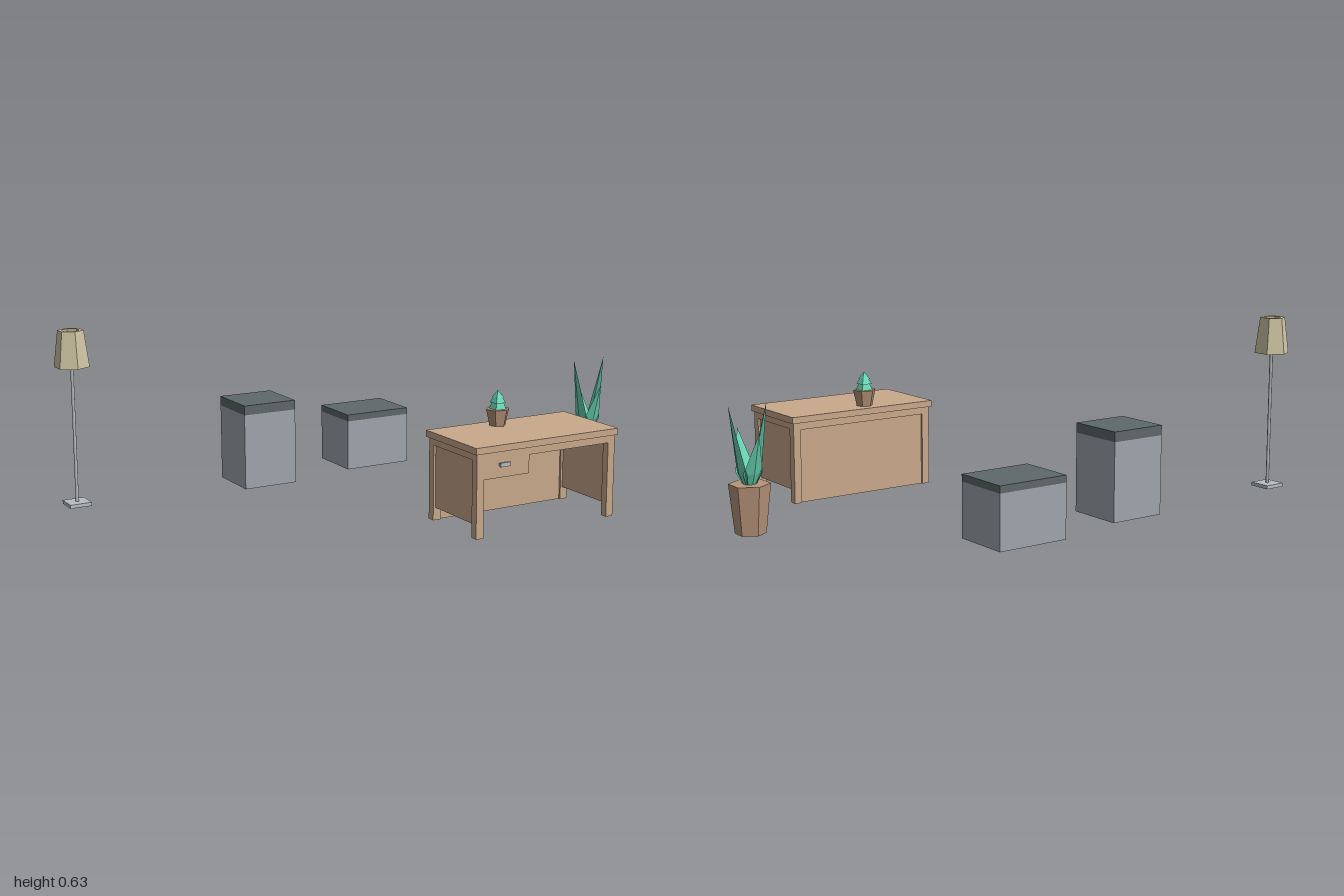
import * as THREE from 'three';

const mat = (name, color) => {
  const m = new THREE.MeshStandardMaterial({ color });
  m.name = name;
  return m;
};

// Flat facets for low-poly parts
const faceted = (geo) => {
  const g = geo.index ? geo.toNonIndexed() : geo;
  g.computeVertexNormals();
  return g;
};

export function createModel() {
  const wood = mat('wood', 0xc9a98c);
  const clay = mat('clay', 0xb8947a);
  const leafGreen = mat('leafGreen', 0x6ad6b4);
  const cabinetGrey = mat('cabinetGrey', 0x9fa6ad);
  const lidGrey = mat('lidGrey', 0x5e686a);
  const metal = mat('metal', 0xb8bebf);
  const fabric = mat('fabric', 0xcfc5a3);

  const model = new THREE.Group();
  model.name = 'officeFurniture';

  const group = (name, x = 0, y = 0, z = 0) => {
    const g = new THREE.Group();
    g.name = name;
    g.position.set(x, y, z);
    model.add(g);
    return g;
  };
  const add = (parent, name, geo, material) => {
    const m = new THREE.Mesh(geo, material);
    m.name = name;
    parent.add(m);
    return m;
  };
  // Box given by its extents on each axis
  const box = (parent, name, material, [x0, x1], [y0, y1], [z0, z1]) => {
    const m = add(parent, name, new THREE.BoxGeometry(x1 - x0, y1 - y0, z1 - z0), material);
    m.position.set((x0 + x1) / 2, (y0 + y1) / 2, (z0 + z1) / 2);
    return m;
  };

  // Desk: top, legs, rails, recessed panels
  const desk = group('desk');
  box(desk, 'deskTop', wood, [0.035, 0.62], [0.29, 0.313], [0.308, 0.617]);
  const legX = [[0.043, 0.072], [0.584, 0.612]];
  const legZ = [[0.317, 0.346], [0.582, 0.61]];
  for (const lx of legX) for (const lz of legZ) box(desk, 'leg', wood, lx, [0, 0.29], lz);
  for (const lx of legX) box(desk, 'sideRail', wood, lx, [0.266, 0.29], [0.346, 0.582]);
  for (const lz of legZ) box(desk, 'longRail', wood, [0.072, 0.584], [0.264, 0.29], lz);
  box(desk, 'rightPanel', wood, [0.051, 0.064], [0.045, 0.266], [0.346, 0.582]);
  box(desk, 'leftPanel', wood, [0.592, 0.604], [0.045, 0.266], [0.346, 0.582]);
  box(desk, 'backPanel', wood, [0.072, 0.584], [0, 0.264], [0.325, 0.338]);
  box(desk, 'drawer', wood, [0.072, 0.253], [0.2, 0.289], [0.338, 0.609]);

  // Drawer pull: a bar on two posts
  box(desk, 'pullBar', metal, [0.131, 0.169], [0.238, 0.252], [0.614, 0.62]);
  for (const x of [0.131, 0.161]) box(desk, 'pullPost', metal, [x, x + 0.008], [0.24, 0.25], [0.608, 0.614]);

  // Two cabinets with dark lids
  const cabinet = (name, xs, zs, bodyTop, lidTop) => {
    const g = group(name);
    box(g, 'cabinetBody', cabinetGrey, xs, [0, bodyTop], zs);
    box(g, 'cabinetLid', lidGrey, xs, [bodyTop, lidTop], zs);
  };
  cabinet('tallCabinet', [-0.336, -0.128], [-0.55, -0.345], 0.279, 0.314);
  cabinet('lowCabinet', [0.133, 0.399], [-0.62, -0.41], 0.19, 0.215);

  // Floor lamp
  const lamp = group('floorLamp', -0.945, 0, -0.46);
  const foot = add(lamp, 'lampBase', new THREE.BoxGeometry(0.08, 0.013, 0.08), metal);
  foot.position.y = 0.0065;
  const pole = add(lamp, 'lampPole', new THREE.CylinderGeometry(0.006, 0.006, 0.55, 8), metal);
  pole.position.y = 0.285;
  // Hollow six-sided shade with a narrow top rim
  const shadeProfile = [[0.056, 0.5], [0.063, 0.5], [0.046, 0.63], [0.032, 0.63], [0.056, 0.5]]
    .map(([r, y]) => new THREE.Vector2(r, y));
  add(lamp, 'lampShade', faceted(new THREE.LatheGeometry(shadeProfile, 6)), fabric);

  // Large plant in a six-sided pot
  const plant = group('floorPlant', 0.927, 0, 0.05);
  const pot = add(plant, 'pot', faceted(new THREE.CylinderGeometry(0.07, 0.052, 0.168, 6)), clay);
  pot.position.y = 0.084;

  // Pointed leaf with a diamond section, leaning outward along +z
  const leafGeometry = (tipY, tipOut) => {
    const rings = [
      { y: 0.165, out: 0.014, w: 0.018, d: 0.007 },
      { y: 0.205, out: 0.026, w: 0.036, d: 0.012 },
      { y: tipY, out: tipOut, w: 0, d: 0 },
    ];
    const g = new THREE.CylinderGeometry(1, 1, 1, 4, 2);
    const p = g.attributes.position;
    for (let i = 0; i < p.count; i++) {
      const r = rings[Math.round((p.getY(i) + 0.5) * 2)];
      p.setXYZ(i, p.getX(i) * r.w, r.y, r.out + p.getZ(i) * r.d);
    }
    return faceted(g);
  };
  for (let i = 0; i < 4; i++) {
    const tall = i % 2 === 1;
    const geo = tall ? leafGeometry(0.435, 0.07) : leafGeometry(0.345, 0.078);
    add(plant, 'leaf', geo, leafGreen).rotation.y = (i * Math.PI) / 2;
  }

  // Small tiered plant on the desk
  const small = group('deskPlant', 0.289, 0.313, 0.368);
  const smallPot = add(small, 'smallPot', faceted(new THREE.CylinderGeometry(0.042, 0.029, 0.058, 6)), clay);
  smallPot.position.y = 0.029;
  smallPot.rotation.y = Math.PI / 12;
  const tiers = [[0.058, 0.086, 0.022, 0.012], [0.08, 0.104, 0.02, 0.009], [0.098, 0.124, 0.015, 0]];
  for (const [y0, y1, bottom, top] of tiers) {
    const geo = new THREE.CylinderGeometry(top * Math.SQRT2, bottom * Math.SQRT2, y1 - y0, 4);
    const tier = add(small, 'leafTier', faceted(geo), leafGreen);
    tier.position.y = (y0 + y1) / 2;
    tier.rotation.y = Math.PI / 4;
  }

  return model;
}
